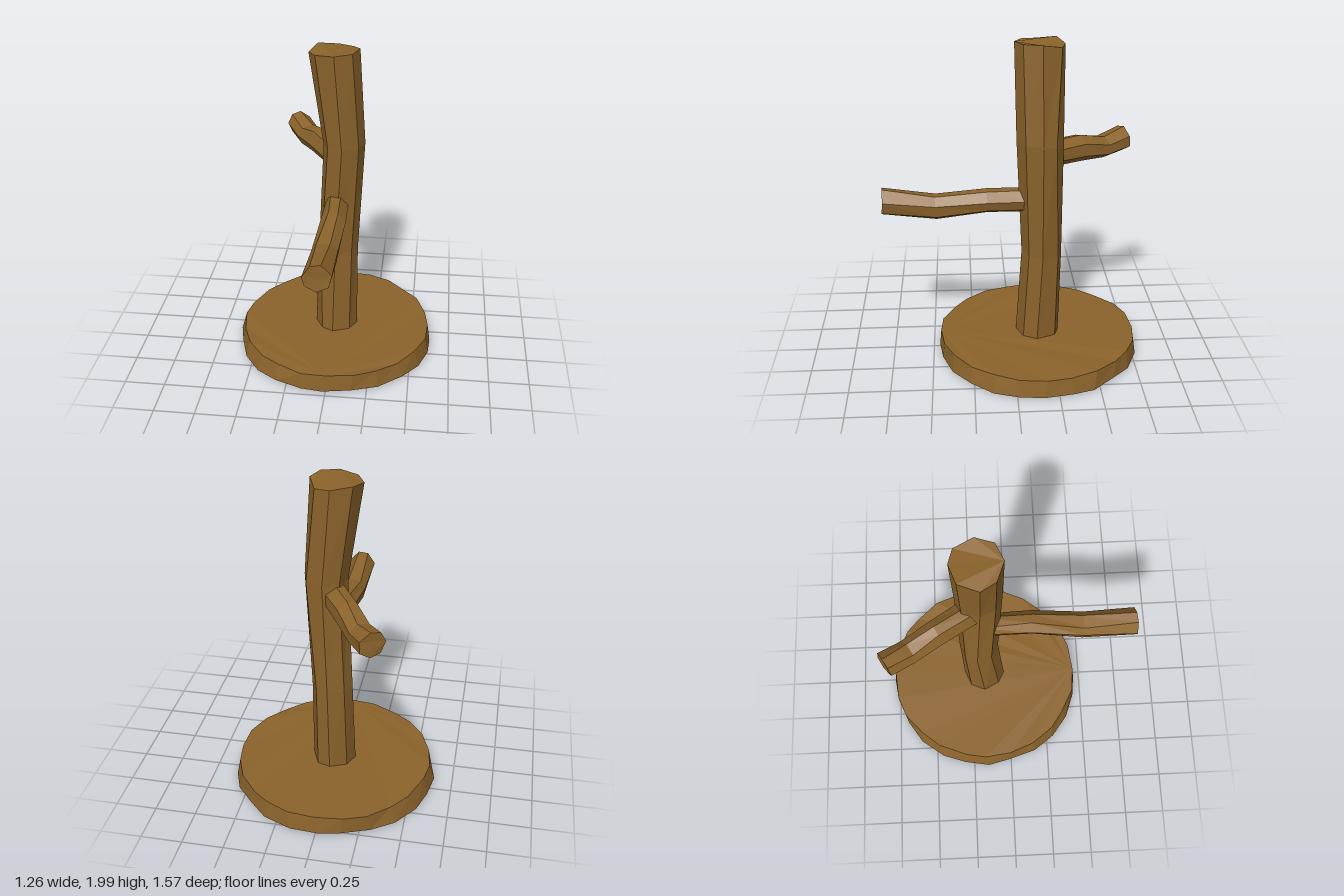
import * as THREE from 'three';

const V = (x, y, z) => new THREE.Vector3(x, y, z);

// Small seeded random in the range -1..1
function seeded(seed) {
  let s = seed;
  return () => {
    s = (s * 16807) % 2147483647;
    return (s / 2147483647) * 2 - 1;
  };
}

// Faceted, capped tube through uneven rings [x, y, z, radiusU, radiusV].
// u x v points along the path; rough is radial and bump lengthwise unevenness.
function loft(rings, sides, u, v, { rough, bump, seed, phase = 0 }) {
  const rand = seeded(seed);
  const w = u.clone().cross(v);
  const points = [];
  const index = [];
  for (const [x, y, z, ru, rv] of rings) {
    for (let i = 0; i < sides; i++) {
      const a = ((i + phase + rand() * 0.13) / sides) * Math.PI * 2;
      const r = 1 + rand() * rough;
      points.push(V(x, y, z)
        .addScaledVector(u, Math.cos(a) * ru * r)
        .addScaledVector(v, Math.sin(a) * rv * r)
        .addScaledVector(w, rand() * bump));
    }
  }
  for (let k = 0; k < rings.length - 1; k++) {
    for (let i = 0; i < sides; i++) {
      const j = (i + 1) % sides;
      const a = k * sides + i, b = k * sides + j;
      index.push(a, b, b + sides, a, b + sides, a + sides);
    }
  }
  // End caps
  const last = (rings.length - 1) * sides;
  for (let i = 1; i < sides - 1; i++) {
    index.push(0, i + 1, i, last, last + i, last + i + 1);
  }
  const indexed = new THREE.BufferGeometry().setFromPoints(points);
  indexed.setIndex(index);
  const geometry = indexed.toNonIndexed();
  geometry.computeVertexNormals();
  return geometry;
}

export function createModel() {
  const group = new THREE.Group();
  const bark = new THREE.MeshStandardMaterial({ color: 0x8b632b });
  bark.name = 'bark brown';

  const add = (name, geometry) => {
    const mesh = new THREE.Mesh(geometry, bark);
    mesh.name = name;
    group.add(mesh);
  };

  const X = V(1, 0, 0), Y = V(0, 1, 0), Z = V(0, 0, 1);

  // Round, roughly cut slab
  add('base', loft([
    [0, 0.012, -0.16, 0.63, 0.63],
    [0, 0.118, -0.16, 0.615, 0.605],
  ], 24, Z, X, { rough: 0.015, bump: 0.006, seed: 77 }));

  // Slightly crooked upright
  add('trunk', loft([
    [0.003, 0.08, -0.16, 0.132, 0.135],
    [0.01, 0.68, -0.185, 0.122, 0.125],
    [0.047, 1.4, -0.165, 0.138, 0.13],
    [-0.01, 1.98, -0.16, 0.153, 0.148],
  ], 8, Z, X, { rough: 0.04, bump: 0.014, seed: 4211 }));

  // Long perch reaching forward
  add('frontBranch', loft([
    [0.01, 1.02, -0.16, 0.072, 0.074],
    [0.015, 1.02, 0.15, 0.075, 0.073],
    [-0.002, 0.98, 0.46, 0.08, 0.082],
    [-0.006, 1.02, 0.783, 0.084, 0.086],
  ], 7, X, Y, { rough: 0.04, bump: 0.006, seed: 913, phase: 0.3 }));

  // Shorter perch reaching back and to the right
  const back = V(-0.51, 0, -0.86).normalize();
  add('backBranch', loft([
    [0, 1.3, -0.2, 0.08, 0.082],
    [-0.13, 1.295, -0.42, 0.078, 0.083],
    [-0.225, 1.27, -0.575, 0.076, 0.073],
    [-0.308, 1.297, -0.712, 0.08, 0.077],
  ], 7, Y.clone().cross(back), Y, { rough: 0.05, bump: 0.008, seed: 5507 }));

  return group;
}
